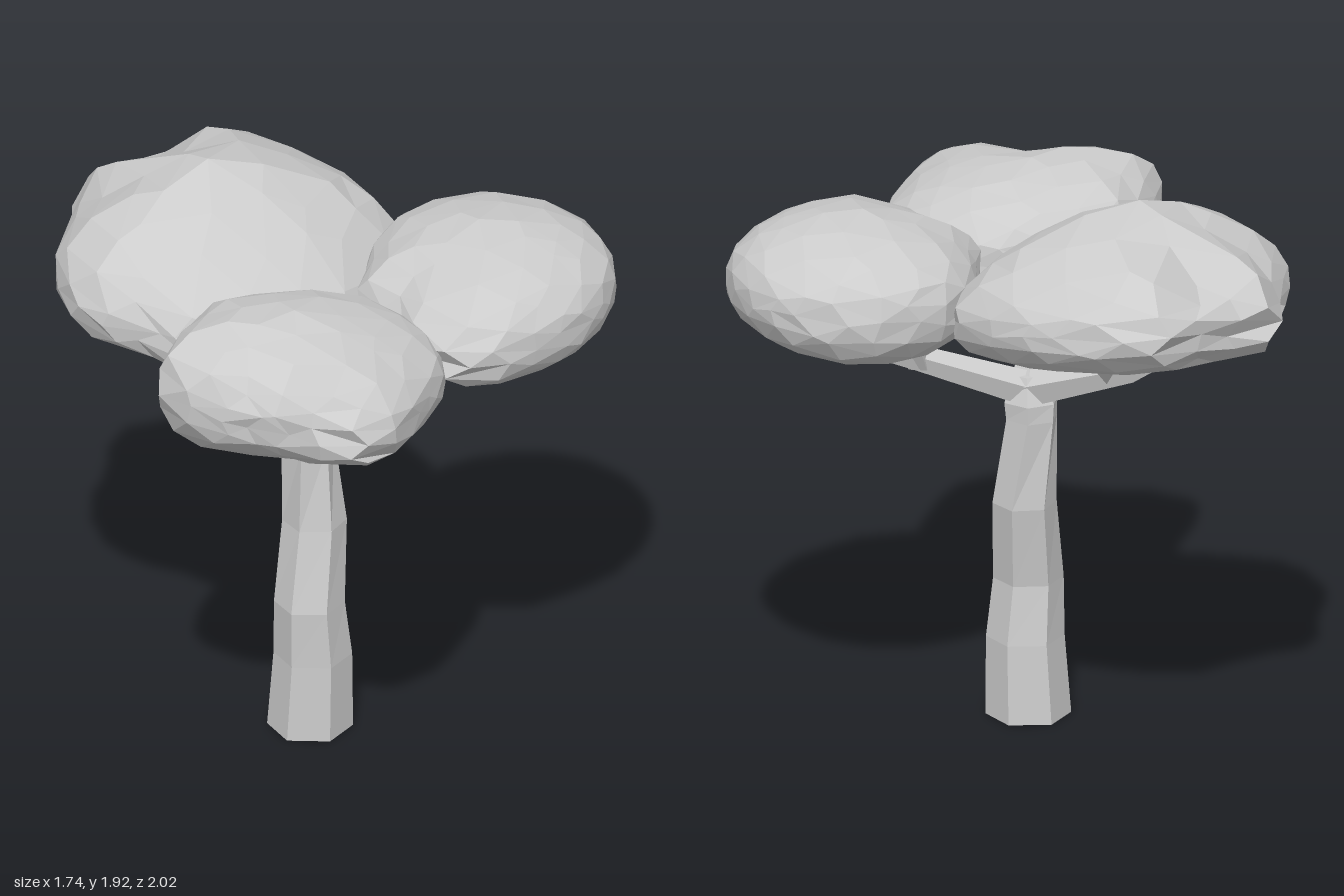
import * as THREE from 'three';

const material = new THREE.MeshStandardMaterial({ color: 0xcccccc, flatShading: true, side: THREE.DoubleSide });

// Faceted limb, open at its foot, lofted through points [x, y, z, radius, twist];
// every ring is square to the axis.
function limb(name, points, sides, axis) {
  const centres = points.map(p => new THREE.Vector3(p[0], p[1], p[2]));
  const dir = axis || centres.at(-1).clone().sub(centres[0]).normalize();
  const ref = Math.abs(dir.y) > 0.8 ? new THREE.Vector3(0, 0, 1) : new THREE.Vector3(0, 1, 0);
  const u = ref.addScaledVector(dir, -ref.dot(dir)).normalize();
  const v = dir.clone().cross(u);
  const pos = [], index = [];
  centres.forEach((c, i) => {
    const [, , , radius, twist = 0] = points[i];
    for (let j = 0; j < sides; j++) {
      const a = (j / sides) * Math.PI * 2 + twist;
      const p = c.clone().addScaledVector(u, Math.cos(a) * radius).addScaledVector(v, Math.sin(a) * radius);
      pos.push(p.x, p.y, p.z);
    }
  });
  const last = (points.length - 1) * sides, tip = last + sides;
  pos.push(...centres.at(-1).toArray());
  for (let j = 0; j < sides; j++) {
    const k = (j + 1) % sides;
    for (let r = 0; r < last; r += sides) {
      index.push(r + j, r + k, r + sides + k, r + j, r + sides + k, r + sides + j);
    }
    index.push(tip, last + j, last + k);
  }
  const geo = new THREE.BufferGeometry();
  geo.setAttribute('position', new THREE.Float32BufferAttribute(pos, 3));
  geo.setIndex(index);
  const flat = geo.toNonIndexed();
  flat.computeVertexNormals();
  const mesh = new THREE.Mesh(flat, material);
  mesh.name = name;
  return mesh;
}

// Leaf mass: an icosphere reshaped to a plan outline. Centre and outline points are
// [x, z, top, bottom]; the height runs from the centre's to the rim's.
function canopy(name, [cx, cz, top, bottom], outline) {
  const rim = outline
    .map(([x, z, t, b]) => [Math.atan2(z - cz, x - cx), Math.hypot(x - cx, z - cz), t, b])
    .sort((p, q) => p[0] - q[0]);
  const first = rim[0], end = rim.at(-1);
  rim.unshift([end[0] - Math.PI * 2, ...end.slice(1)]);
  rim.push([first[0] + Math.PI * 2, ...first.slice(1)]);
  const rimAt = a => {
    let i = 1;
    while (i < rim.length - 1 && rim[i][0] < a) i++;
    const p = rim[i - 1], q = rim[i];
    return [1, 2, 3].map(k => THREE.MathUtils.mapLinear(a, p[0], q[0], p[k], q[k]));
  };
  const geo = new THREE.IcosahedronGeometry(1, 3);
  const pos = geo.attributes.position;
  const d = new THREE.Vector3();
  for (let i = 0; i < pos.count; i++) {
    d.fromBufferAttribute(pos, i).normalize();
    // uneven facets
    d.set(
      d.x + 0.06 * Math.sin(11 * d.y + 9 * d.z + cx),
      d.y + 0.06 * Math.sin(10 * d.z + 8 * d.x),
      d.z + 0.06 * Math.sin(9 * d.x + 11 * d.y + cz),
    ).normalize();
    const h = Math.hypot(d.x, d.z), a = Math.atan2(d.z, d.x);
    const s = Math.pow(Math.pow(h, 2.7) + Math.pow(Math.abs(d.y), 2.7), -1 / 2.7);
    const [reach, rimTop, rimBottom] = rimAt(a);
    const t = h * s;
    const hi = THREE.MathUtils.lerp(top, rimTop, t), lo = THREE.MathUtils.lerp(bottom, rimBottom, t);
    pos.setXYZ(i, cx + Math.cos(a) * t * reach, (hi + lo) / 2 + d.y * s * (hi - lo) / 2, cz + Math.sin(a) * t * reach);
  }
  geo.computeVertexNormals();
  const mesh = new THREE.Mesh(geo, material);
  mesh.name = name;
  return mesh;
}

export function createModel() {
  const tree = new THREE.Group();
  tree.name = 'tree';

  // Crooked six-sided trunk
  tree.add(limb('trunk', [
    [-0.142, 0, 0.025, 0.142, 0.12], [-0.136, 0.27, 0.035, 0.13, 0.12], [-0.152, 0.47, 0.045, 0.117, 0.15],
    [-0.12, 0.75, 0.008, 0.107, 0.2], [-0.138, 1.05, -0.008, 0.09, 0.45], [-0.137, 1.11, -0.002, 0.095, 0.5],
    [-0.13, 1.2, 0, 0.05, 0.5],
  ], 6, new THREE.Vector3(0, 1, 0)));

  // Main branches, each with its side twigs
  const branches = {
    leftBranch: [
      [[-0.13, 1.145, 0, 0.062], [0.22, 1.275, 0.1, 0.045], [0.56, 1.4, 0.14, 0.026]],
      [[0.22, 1.26, 0.1, 0.045], [0.3, 1.45, 0.02, 0.025]],
      [[0.34, 1.31, 0.11, 0.035], [0.44, 1.42, 0.28, 0.02]],
    ],
    backBranch: [
      [[-0.13, 1.145, 0, 0.065], [-0.36, 1.28, -0.32, 0.045], [-0.48, 1.42, -0.52, 0.026]],
      [[-0.31, 1.25, -0.25, 0.04], [-0.13, 1.42, -0.42, 0.022]],
      [[-0.28, 1.23, -0.2, 0.04], [-0.52, 1.4, -0.2, 0.022]],
    ],
    frontBranch: [
      [[-0.13, 1.145, 0, 0.065], [-0.27, 1.28, 0.2, 0.046], [-0.36, 1.4, 0.42, 0.026]],
      [[-0.25, 1.25, 0.16, 0.04], [-0.48, 1.36, 0.24, 0.022]],
      [[-0.23, 1.22, 0.13, 0.04], [-0.1, 1.38, 0.3, 0.022]],
    ],
  };
  for (const [name, [main, ...twigs]] of Object.entries(branches)) {
    const group = new THREE.Group();
    group.name = name;
    group.add(limb('limb', main, 5));
    for (const twig of twigs) group.add(limb('twig', twig, 4));
    tree.add(group);
  }

  // Three leaf masses
  tree.add(canopy('backCanopy', [-0.3, -0.4, 1.93, 1.36], [
    [0.31, -0.34, 1.74, 1.36], [0.28, -0.46, 1.76, 1.38], [0.16, -0.76, 1.78, 1.42], [-0.07, -0.99, 1.81, 1.45],
    [-0.2, -1.02, 1.81, 1.45], [-0.37, -0.88, 1.76, 1.44], [-0.52, -0.95, 1.78, 1.42], [-0.63, -0.89, 1.78, 1.4],
    [-0.7, -0.67, 1.76, 1.38], [-0.83, -0.55, 1.78, 1.36], [-0.87, -0.26, 1.76, 1.34], [-0.82, -0.14, 1.74, 1.34],
    [-0.68, -0.03, 1.7, 1.31], [-0.58, 0.12, 1.64, 1.3], [-0.3, 0.14, 1.62, 1.28], [-0.06, 0.14, 1.62, 1.27],
    [0.18, -0.12, 1.68, 1.32],
  ]));
  tree.add(canopy('leftCanopy', [0.44, 0.15, 1.83, 1.35], [
    [0.87, 0.11, 1.78, 1.4], [0.82, 0.33, 1.77, 1.4], [0.72, 0.45, 1.76, 1.39], [0.48, 0.58, 1.76, 1.38],
    [0.24, 0.64, 1.74, 1.39], [0.12, 0.6, 1.73, 1.4], [0.06, 0.45, 1.73, 1.4], [0.05, 0.27, 1.73, 1.4],
    [-0.01, 0.1, 1.74, 1.42], [0.08, -0.03, 1.75, 1.4], [0.27, -0.29, 1.77, 1.36], [0.41, -0.32, 1.78, 1.35],
    [0.64, -0.29, 1.78, 1.35], [0.76, -0.2, 1.78, 1.37],
  ]));
  tree.add(canopy('frontCanopy', [-0.33, 0.46, 1.78, 1.29], [
    [0.07, 0.25, 1.72, 1.33], [0.13, 0.57, 1.7, 1.34], [-0.04, 0.8, 1.71, 1.36], [-0.23, 0.99, 1.72, 1.38],
    [-0.34, 1.01, 1.72, 1.38], [-0.43, 0.96, 1.72, 1.38], [-0.48, 0.83, 1.7, 1.37], [-0.62, 0.69, 1.72, 1.35],
    [-0.79, 0.55, 1.79, 1.32], [-0.84, 0.47, 1.81, 1.32], [-0.8, 0.35, 1.81, 1.32], [-0.66, 0.23, 1.8, 1.31],
    [-0.6, 0.11, 1.78, 1.31], [-0.3, 0.07, 1.74, 1.31], [0, 0.16, 1.73, 1.32],
  ]));
  return tree;
}
